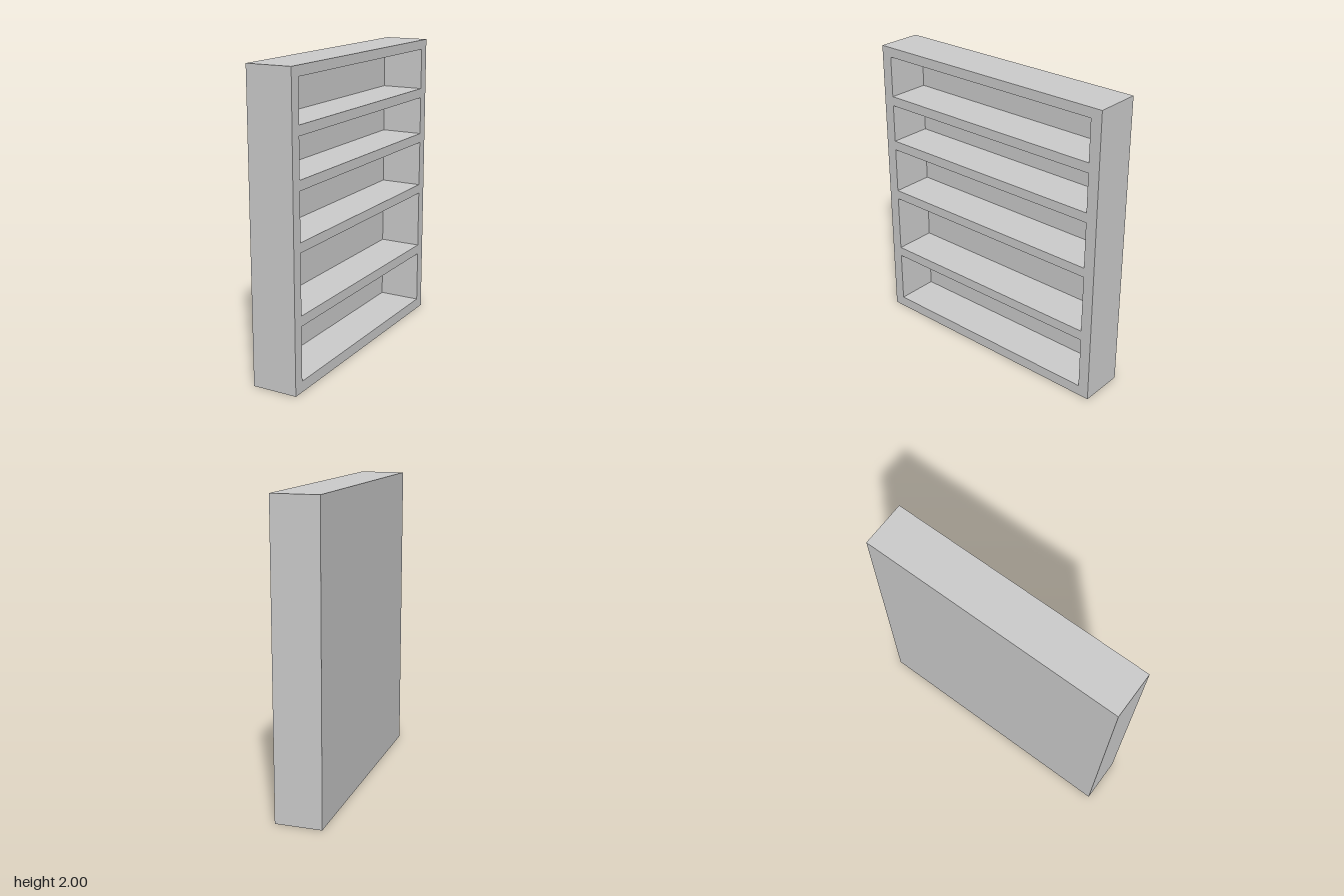
import * as THREE from 'three';

export function createModel() {
  const group = new THREE.Group();
  const material = new THREE.MeshStandardMaterial({ color: 0xcccccc });

  const halfDepth = 0.153, halfWidth = 0.888, innerHalf = 0.813, back = 0.014;
  const front = halfDepth, inside = -halfDepth + back;

  // Board given by its limits along each axis
  function board(name, x0, x1, y0, y1, z0, z1) {
    const mesh = new THREE.Mesh(new THREE.BoxGeometry(x1 - x0, y1 - y0, z1 - z0), material);
    mesh.position.set((x0 + x1) / 2, (y0 + y1) / 2, (z0 + z1) / 2);
    mesh.name = name;
    group.add(mesh);
  }

  // Thin panel closing the back; the shelves open towards +x
  board('backPanel', -halfDepth, inside, 0, 2, -halfWidth, halfWidth);

  // Base and top run the full width, with the sides standing between them
  board('baseBoard', inside, front, 0, 0.072, -halfWidth, halfWidth);
  board('topBoard', inside, front, 1.935, 2, -halfWidth, halfWidth);
  board('sidePanelFront', inside, front, 0.072, 1.935, innerHalf, halfWidth);
  board('sidePanelRear', inside, front, 0.072, 1.935, -halfWidth, -innerHalf);

  // Unevenly spaced shelves: lower and upper face heights
  const shelves = [[0.43, 0.497], [0.893, 0.957], [1.27, 1.335], [1.594, 1.659]];
  shelves.forEach(([y0, y1], i) =>
    board(`shelf${i + 1}`, inside, front, y0, y1, -innerHalf, innerHalf));

  return group;
}
